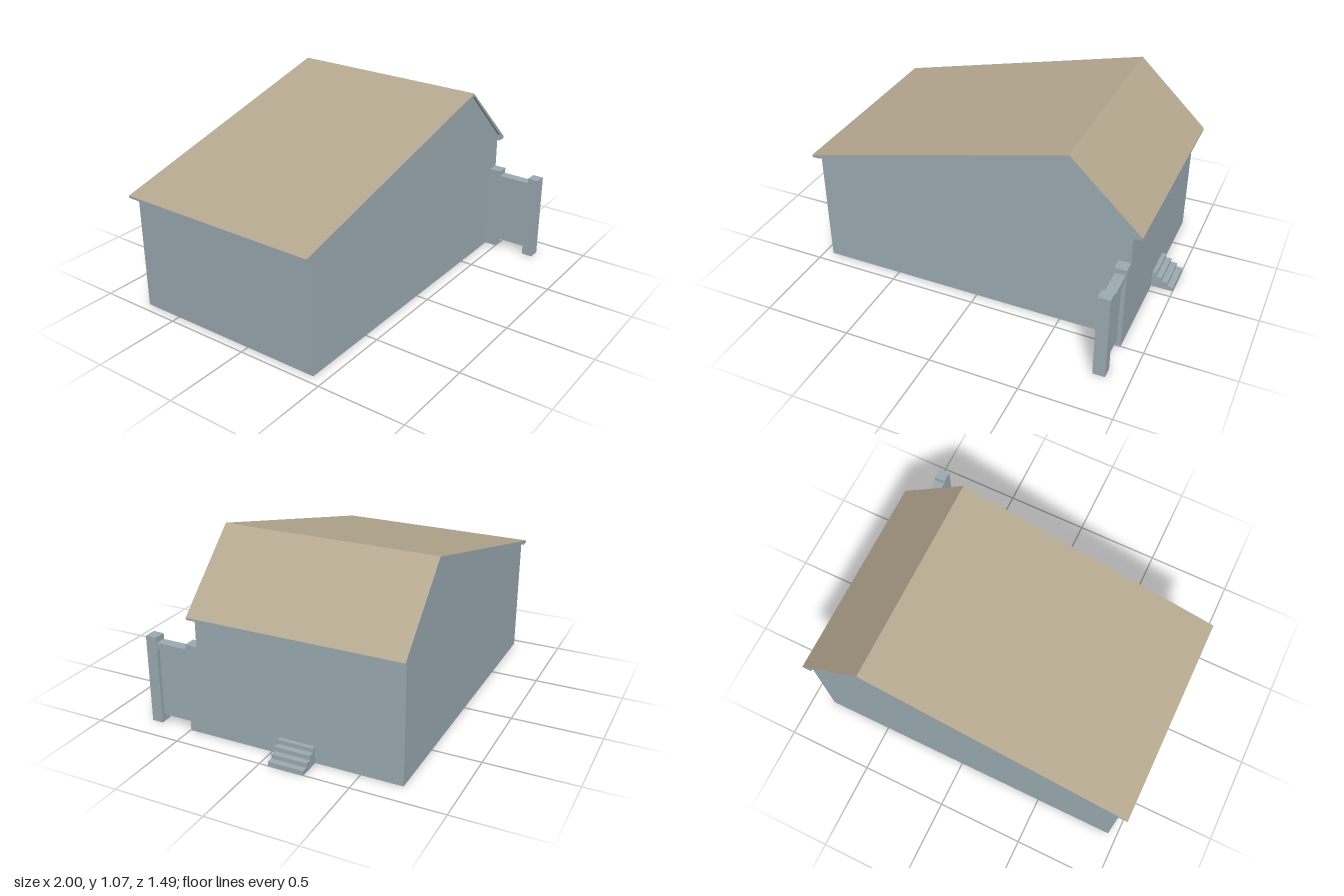
import * as THREE from 'three';

export function createModel() {
  const model = new THREE.Group();
  const wallMat = new THREE.MeshStandardMaterial({ color: 0x9aaab1 });
  wallMat.name = 'blue grey wall';
  const roofMat = new THREE.MeshStandardMaterial({ color: 0xb5a88f });
  roofMat.name = 'tan roofing';

  const add = (name, geometry, material = wallMat) => {
    const mesh = new THREE.Mesh(geometry, material);
    mesh.name = name;
    model.add(mesh);
    return mesh;
  };
  // Profile in x and y, extruded from z0 to z1
  const prism = (name, points, z0, z1) => {
    const shape = new THREE.Shape(points.map(([x, y]) => new THREE.Vector2(x, y)));
    const g = new THREE.ExtrudeGeometry(shape, { depth: z1 - z0, bevelEnabled: false });
    return add(name, g.translate(0, 0, z0));
  };
  // Box given by its two corners
  const box = (name, [x0, y0, z0], [x1, y1, z1]) => {
    const g = new THREE.BoxGeometry(x1 - x0, y1 - y0, z1 - z0);
    return add(name, g.translate((x0 + x1) / 2, (y0 + y1) / 2, (z0 + z1) / 2));
  };

  // House body with an off-centre gable
  prism('houseWalls', [[-0.95, 0], [0.873, 0], [0.873, 0.706], [0.523, 1.05], [-0.95, 0.68]], -0.73, 0.43);

  // Roof boards with flat soffits at both eaves
  const ridge = [0.523, 1.063], leftEave = [-1, 0.682], rightEave = [0.925, 0.682];
  prism('roofBoards', [[-1, 0.67], [-0.95, 0.67], [-0.95, 0.68], [0.523, 1.048],
    [0.873, 0.706], [0.873, 0.67], [0.925, 0.67], rightEave, ridge, leftEave], -0.745, 0.445);

  // Tan covering on each slope
  const covering = (name, [x0, y0], [x1, y1]) => {
    const g = new THREE.PlaneGeometry(Math.hypot(x1 - x0, y1 - y0), 1.19);
    g.rotateX(-Math.PI / 2).rotateZ(Math.atan2(y1 - y0, x1 - x0));
    add(name, g.translate((x0 + x1) / 2, (y0 + y1) / 2 + 0.002, -0.15), roofMat);
  };
  covering('leftRoofCovering', leftEave, ridge);
  covering('rightRoofCovering', ridge, rightEave);

  // Side gate: two posts, a top rail and a recessed leaf
  box('innerGatePost', [0.805, 0, 0.43], [0.873, 0.503, 0.497]);
  box('outerGatePost', [0.805, 0, 0.683], [0.873, 0.503, 0.747]);
  box('gateTopRail', [0.81, 0.44, 0.497], [0.868, 0.472, 0.683]);
  box('gateLeaf', [0.828, 0.04, 0.497], [0.85, 0.44, 0.683]);

  // Four entrance steps
  const edges = [1, 0.965, 0.93, 0.897];
  const steps = [[0.873, 0]];
  edges.forEach((x, i) => steps.push([x, i * 0.024], [x, (i + 1) * 0.024]));
  steps.push([0.873, 0.096]);
  prism('entranceSteps', steps, -0.25, -0.05);

  return model;
}
